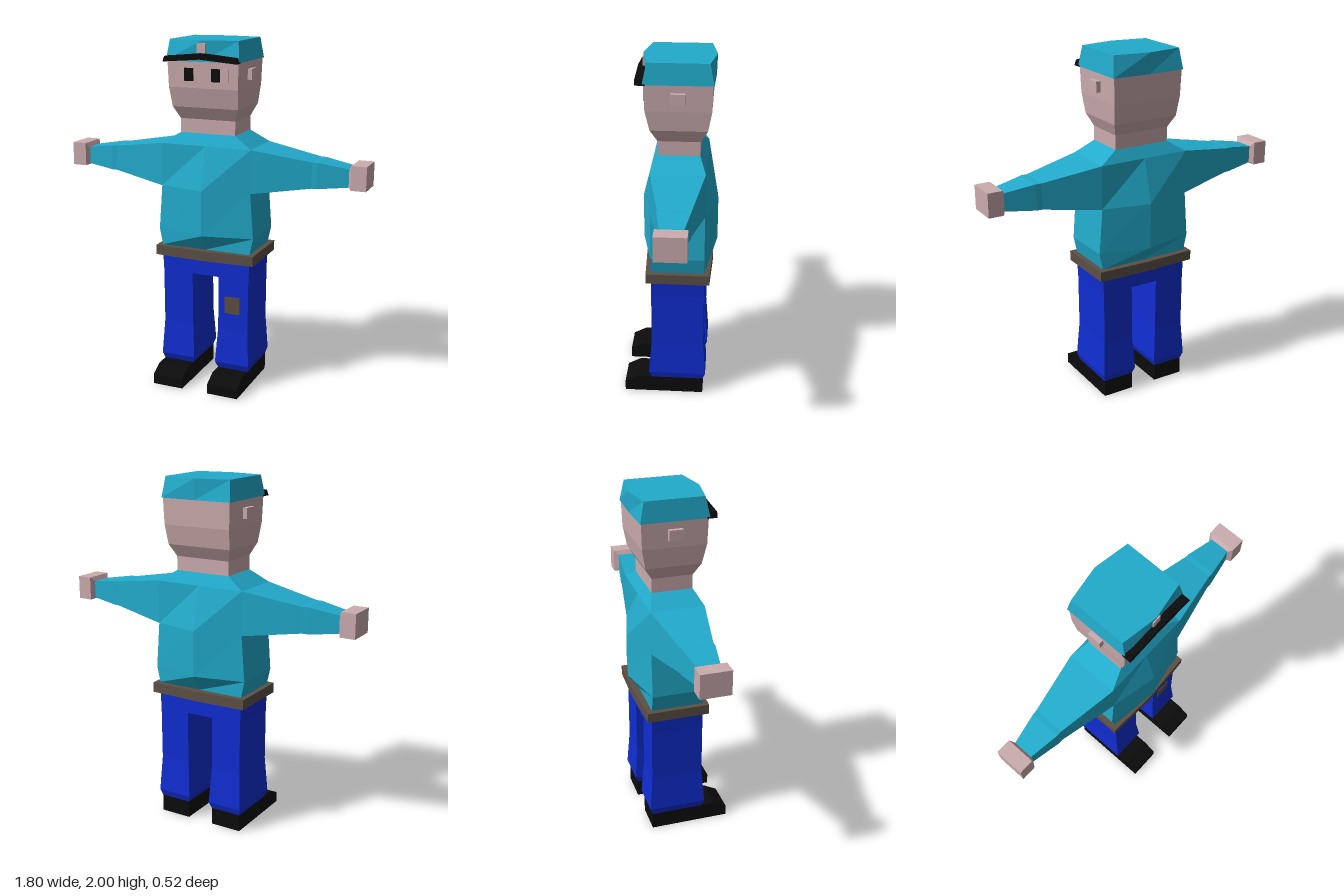
import * as THREE from 'three';

const mat = (name, color) => {
  const m = new THREE.MeshStandardMaterial({ color });
  m.name = name;
  return m;
};

// Faceted solid through rings of [x, y, z]; rings run counter-clockwise seen from the last ring
function loft(rings) {
  const pos = [];
  const tri = (a, b, c) => pos.push(...a, ...b, ...c);
  const n = rings[0].length;
  for (let i = 0; i < rings.length - 1; i++) {
    for (let j = 0; j < n; j++) {
      const k = (j + 1) % n;
      const [lo, hi] = [rings[i], rings[i + 1]];
      tri(lo[j], lo[k], hi[k]);
      tri(lo[j], hi[k], hi[j]);
    }
  }
  const first = rings[0], last = rings[rings.length - 1];
  for (let j = 1; j < n - 1; j++) {
    tri(first[0], first[j + 1], first[j]);
    tri(last[0], last[j], last[j + 1]);
  }
  const g = new THREE.BufferGeometry();
  g.setAttribute('position', new THREE.Float32BufferAttribute(pos, 3));
  g.computeVertexNormals();
  return g;
}

// Horizontal ring with four corners
const rect = (y, x0, x1, front, back) =>
  [[x0, y, front], [x1, y, front], [x1, y, back], [x0, y, back]];
// Horizontal ring with a ridge at the middle of front and back
const ridged = (y, w, front, back, midFront, midBack) =>
  [[-w, y, front], [0, y, midFront], [w, y, front], [w, y, back], [0, y, midBack], [-w, y, back]];
// Upright ring across an arm
const across = (x, y0, y1, front, back) =>
  [[x, y0, front], [x, y0, back], [x, y1, back], [x, y1, front]];
const mirror = (rings, s) =>
  s > 0 ? rings : rings.map(r => r.map(([x, y, z]) => [-x, y, z]).reverse());

export function createModel() {
  const model = new THREE.Group();
  model.name = 'figure';
  const teal = mat('tealCloth', 0x22abcc);
  const blue = mat('blueTrousers', 0x102dd2);
  const skin = mat('skin', 0xccacae);
  const brown = mat('brownLeather', 0x5c5045);
  const black = mat('black', 0x0c0c0c);

  const add = (name, geometry, material) => {
    const m = new THREE.Mesh(geometry, material);
    m.name = name;
    model.add(m);
    return m;
  };
  const box = (name, material, x0, x1, y0, y1, z0, z1) =>
    add(name, new THREE.BoxGeometry(x1 - x0, y1 - y0, z1 - z0), material)
      .position.set((x0 + x1) / 2, (y0 + y1) / 2, (z0 + z1) / 2);

  // Torso and belt
  add('torso', loft([
    ridged(0.815, 0.27, 0.105, -0.195, 0.105, -0.195),
    ridged(0.91, 0.29, 0.105, -0.195, 0.165, -0.26),
    ridged(1.17, 0.27, 0.105, -0.195, 0.165, -0.26),
    ridged(1.415, 0.27, 0.105, -0.195, 0.105, -0.195),
    ridged(1.48, 0.165, 0.07, -0.16, 0.07, -0.16),
  ]), teal);
  add('belt', loft([0.758, 0.815].map(y => ridged(y, 0.3, 0.132, -0.225, 0.148, -0.236))), brown);

  // Neck and head
  add('head', loft([
    [1.48, 0.165, 0.07, -0.16],
    [1.56, 0.165, 0.07, -0.16],
    [1.63, 0.195, 0.11, -0.2],
    [1.74, 0.205, 0.135, -0.22],
    [1.89, 0.21, 0.14, -0.225],
  ].map(([y, w, f, b]) => rect(y, -w, w, f, b))), skin);

  // Cap with ridged front and back, peak and badge
  add('cap', loft([
    ridged(1.885, 0.216, 0.147, -0.23, 0.15, -0.236),
    ridged(2, 0.202, 0.122, -0.207, 0.155, -0.24),
  ]), teal);
  const peak = new THREE.Shape([
    [-0.218, 1.882], [0, 1.9], [0.218, 1.882], [0.208, 1.912], [0, 1.932], [-0.208, 1.912],
  ].map(([x, y]) => new THREE.Vector2(x, y)));
  add('capPeak', new THREE.ExtrudeGeometry(peak, { depth: 0.055, bevelEnabled: false }), black)
    .position.z = 0.13;
  box('capBadge', skin, -0.025, 0.025, 1.932, 1.985, 0.14, 0.16);

  // Hips, with a patch on one knee
  add('hips', loft([0.66, 0.76].map((y, i) =>
    rect(y, -0.265 - i * 0.005, 0.265 + i * 0.005, 0.105, -0.195))), blue);
  box('kneePatch', brown, 0.12, 0.215, 0.447, 0.548, 0.102, 0.109);

  for (const s of [1, -1]) {
    const side = s > 0 ? 'left' : 'right';
    const pair = (name, rings, material) => add(side + name, loft(mirror(rings, s)), material);

    pair('Leg', [
      rect(0.1, 0.08, 0.265, 0.105, -0.195),
      rect(0.14, 0.067, 0.275, 0.122, -0.21),
      rect(0.35, 0.08, 0.263, 0.105, -0.195),
      rect(0.66, 0.082, 0.265, 0.105, -0.195),
    ], blue);

    // Shoe, from its side profile
    pair('Shoe', [0.08, 0.264].map(x => [
      [x, 0, 0.265], [x, 0, -0.195], [x, 0.102, -0.195], [x, 0.1, 0.19], [x, 0.06, 0.265],
    ]), black);

    // Tapering sleeve and block hand
    pair('Arm', [
      across(0.27, 1.168, 1.415, 0.105, -0.195),
      across(0.6, 1.217, 1.362, 0.04, -0.138),
      across(0.63, 1.217, 1.362, 0.04, -0.135),
      across(0.8, 1.235, 1.335, 0.01, -0.105),
    ], teal);
    pair('Hand', [
      across(0.797, 1.24, 1.33, 0.008, -0.1),
      across(0.815, 1.225, 1.36, 0.035, -0.132),
      across(0.9, 1.225, 1.36, 0.035, -0.132),
    ], skin);

    // Ear, eye surround and eye
    pair('Ear', [
      across(0.195, 1.783, 1.843, -0.002, -0.08),
      across(0.233, 1.783, 1.843, -0.002, -0.08),
    ], skin);
    pair('EyeSurround', [1.78, 1.848].map(y => rect(y, 0.054, 0.155, 0.145, 0.13)), skin);
    pair('Eye', [1.779, 1.849].map(y => rect(y, 0.054, 0.105, 0.149, 0.141)), black);
  }
  return model;
}
